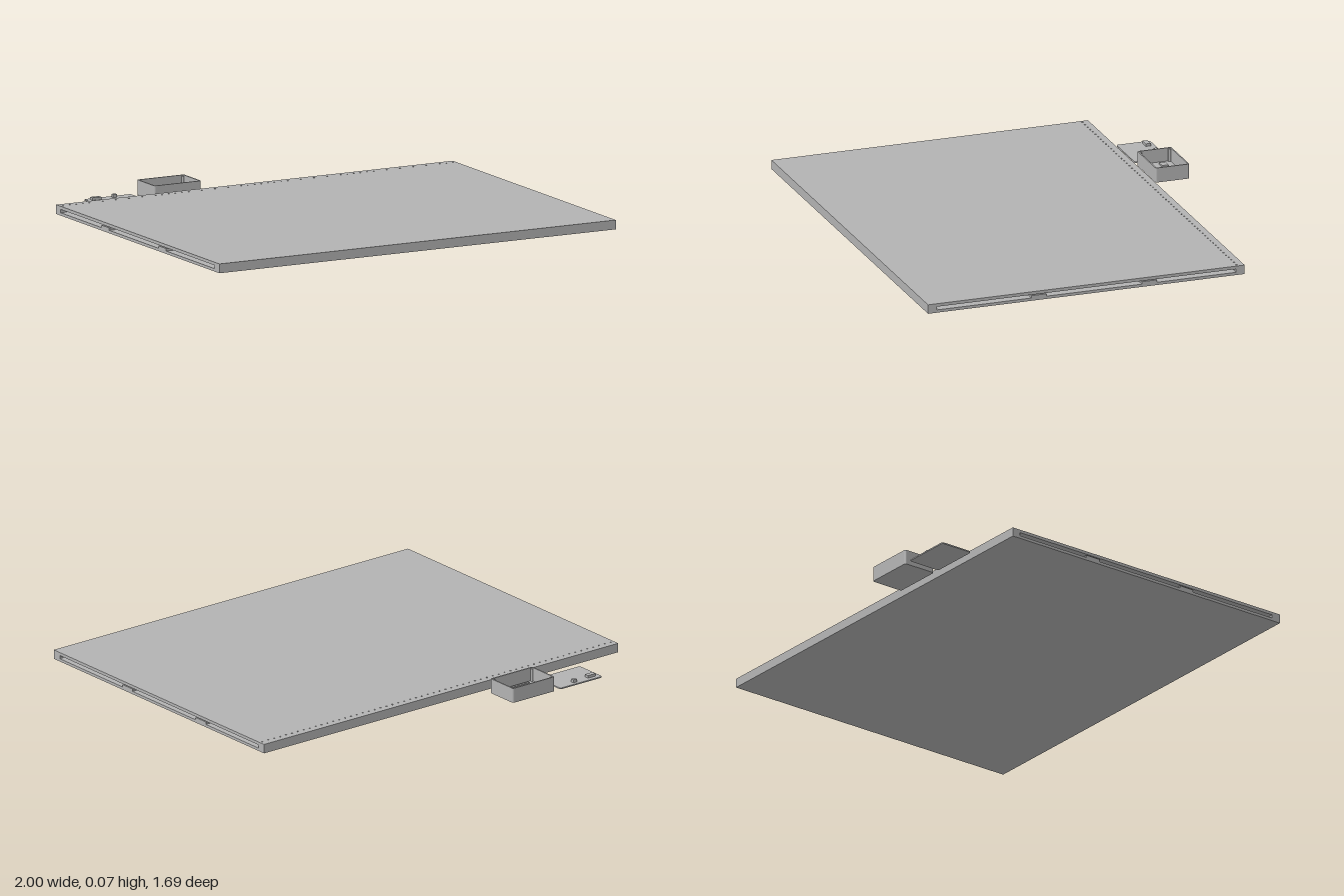
import * as THREE from 'three';

export function createModel() {
  const model = new THREE.Group();
  const grey = new THREE.MeshStandardMaterial({ color: 0xb2b2b2 });
  grey.name = 'grey plastic';

  function add(parent, name, geometry) {
    const mesh = new THREE.Mesh(geometry, grey);
    mesh.name = name;
    parent.add(mesh);
    return mesh;
  }

  // Box given by its limits along each axis
  function block(parent, name, x0, x1, y0, y1, z0, z1) {
    const g = new THREE.BoxGeometry(x1 - x0, y1 - y0, z1 - z0);
    g.translate((x0 + x1) / 2, (y0 + y1) / 2, (z0 + z1) / 2);
    return add(parent, name, g);
  }

  // Rounded rectangle in plan; shape y is -z
  function roundRect(path, x0, x1, z0, z1, r) {
    path.absarc(x1 - r, -z0 - r, r, 0, Math.PI / 2);
    path.absarc(x0 + r, -z0 - r, r, Math.PI / 2, Math.PI);
    path.absarc(x0 + r, -z1 + r, r, Math.PI, Math.PI * 1.5);
    path.absarc(x1 - r, -z1 + r, r, Math.PI * 1.5, Math.PI * 2);
    return path;
  }

  // Stand a plan shape up between two heights
  function slab(shape, y0, y1, curveSegments = 4) {
    const g = new THREE.ExtrudeGeometry(shape, { depth: y1 - y0, bevelEnabled: false, curveSegments });
    return g.rotateX(-Math.PI / 2).translate(0, y0, 0);
  }

  // Hollow panel, open at both ends
  const panel = new THREE.Group();
  panel.name = 'panel';
  model.add(panel);
  const front = 0.845, back = -0.645;
  block(panel, 'bottomSheet', -1, 1, 0, 0.013, back, front);
  block(panel, 'frontWall', -1, 1, 0.013, 0.028, 0.802, front);
  block(panel, 'backWall', -1, 1, 0.013, 0.028, back, -0.605);
  for (const z of [0.323, -0.197]) {
    block(panel, 'innerRib', -1, 1, 0.013, 0.024, z - 0.036, z + 0.036);
  }

  // Top sheet with a row of small holes near the back edge
  const top = new THREE.Shape([
    new THREE.Vector2(-1, -front), new THREE.Vector2(1, -front),
    new THREE.Vector2(1, -back), new THREE.Vector2(-1, -back),
  ]);
  const holes = 60;
  for (let i = 0; i < holes; i++) {
    const x = -1 + (i + 0.5) * 2 / holes;
    top.holes.push(new THREE.Path().absarc(x, 0.613, 0.004, 0, Math.PI * 2, true));
  }
  add(panel, 'topSheet', slab(top, 0.028, 0.042));

  // Open case behind the panel
  const box = new THREE.Group();
  box.name = 'openCase';
  model.add(box);
  const [x0, x1, z0, z1] = [-0.482, -0.246, -0.845, -0.686];
  const wall = 0.006;
  add(box, 'caseFloor', slab(roundRect(new THREE.Shape(), x0, x1, z0, z1, 0.008), 0, 0.006));
  const rim = roundRect(new THREE.Shape(), x0, x1, z0, z1, 0.008);
  rim.holes.push(roundRect(new THREE.Path(), x0 + wall, x1 - wall, z0 + wall, z1 - wall, 0.003));
  add(box, 'caseWalls', slab(rim, 0.006, 0.068));
  for (const x of [x0 + 0.011, x1 - 0.011]) {
    for (const z of [z0 + 0.011, z1 - 0.011]) {
      const post = new THREE.CylinderGeometry(0.006, 0.006, 0.058, 12);
      add(box, 'cornerPost', post.translate(x, 0.035, z));
    }
  }

  // Low mounts on the case floor
  block(box, 'boardMount', -0.36, -0.258, 0.006, 0.012, -0.83, -0.755);
  block(box, 'smallMount', -0.45, -0.408, 0.006, 0.014, -0.806, -0.776);
  block(box, 'longMount', -0.44, -0.318, 0.006, 0.01, -0.738, -0.708);
  block(box, 'longMountStep', -0.44, -0.318, 0.01, 0.014, -0.718, -0.708);

  // Loose lid beside the case
  const lid = new THREE.Group();
  lid.name = 'lid';
  model.add(lid);
  add(lid, 'lidPlate', slab(roundRect(new THREE.Shape(), -0.75, -0.514, z0, z1, 0.01), 0, 0.006));
  block(lid, 'wideTab', -0.729, -0.686, 0.006, 0.018, -0.825, -0.802);
  block(lid, 'smallTab', -0.62, -0.6, 0.006, 0.02, -0.829, -0.813);

  return model;
}
